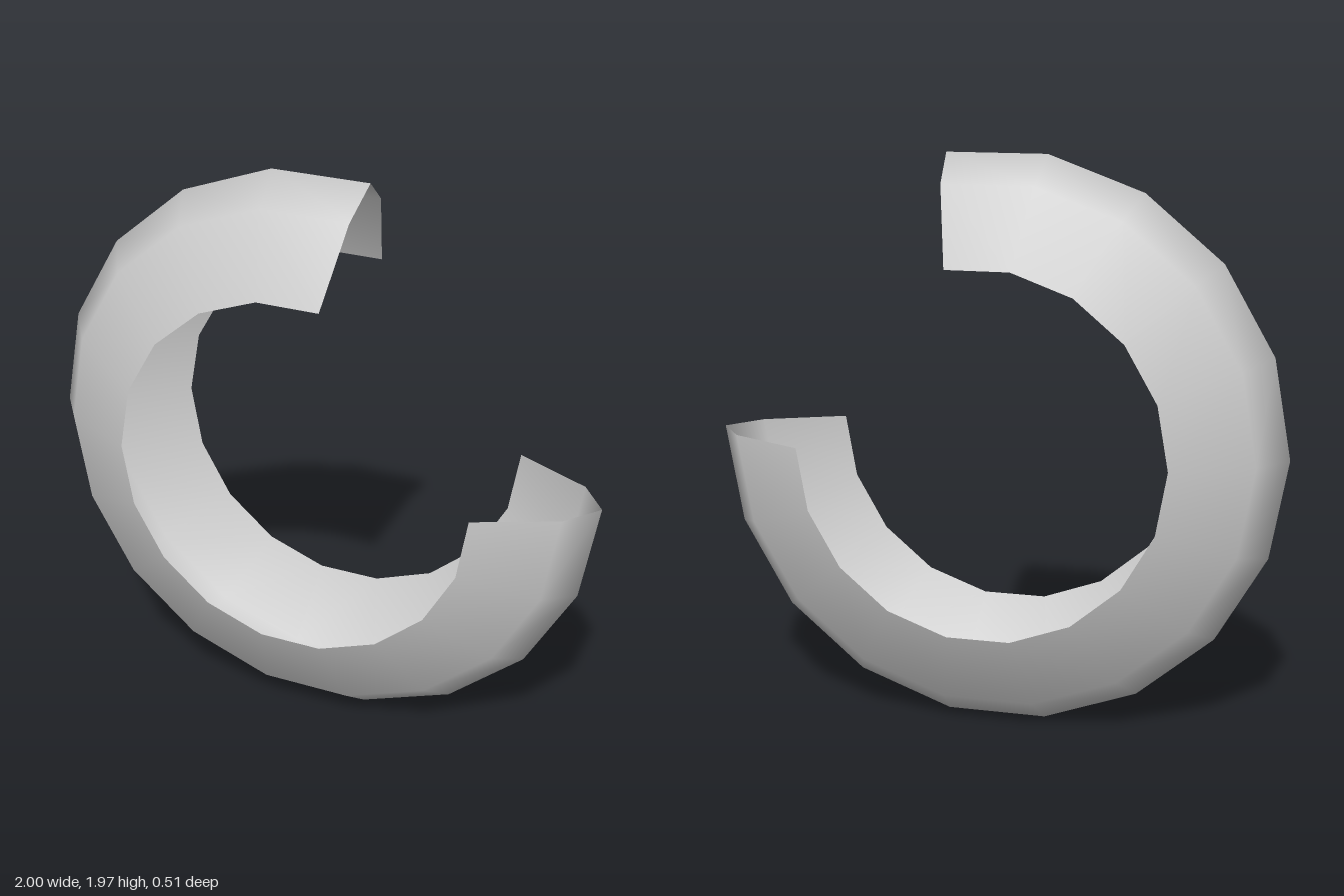
import * as THREE from 'three';

export function createModel() {
  const model = new THREE.Group();
  model.name = 'openRing';

  const grey = new THREE.MeshStandardMaterial({ color: 0xcccccc, side: THREE.DoubleSide });
  grey.name = 'grey';

  // Ridged cross-section of the shell: radius and depth, open on the inside
  const profile = [
    [0.637, -0.255], [0.905, -0.127], [1, 0], [0.905, 0.127], [0.637, 0.255],
  ].map(([r, z]) => new THREE.Vector2(r, z));

  // Fourteen 20-degree steps, leaving the upper left gap open
  const geometry = new THREE.LatheGeometry(
    profile, 14, THREE.MathUtils.degToRad(-190), THREE.MathUtils.degToRad(280));
  geometry.rotateX(Math.PI / 2);

  const shell = new THREE.Mesh(geometry, grey);
  shell.name = 'ringShell';
  shell.position.y = 0.985;
  model.add(shell);
  return model;
}
